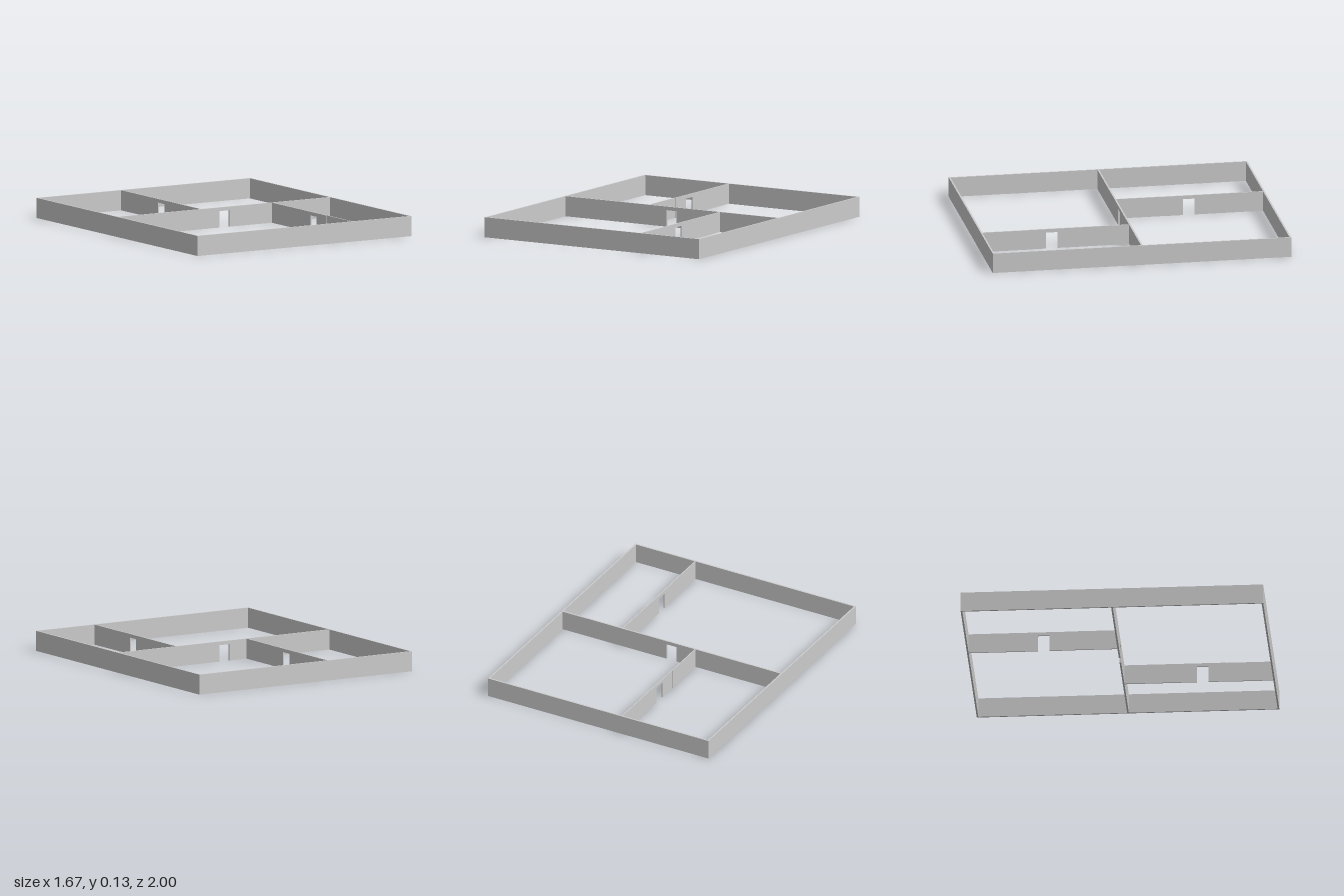
import * as THREE from 'three';

const HALF_X = 0.833, HALF_Z = 1, HEIGHT = 0.134, DOOR_HEIGHT = 0.11;
const OUTER = 0.011, INNER = 0.008;
const material = new THREE.MeshStandardMaterial({ color: 0xcccccc, flatShading: true });

// Wall outline from a to b along its run, notched to the floor at an optional doorway [start, end]
function wallGeometry(a, b, thickness, door) {
  const points = [[a, 0]];
  if (door) points.push([door[0], 0], [door[0], DOOR_HEIGHT], [door[1], DOOR_HEIGHT], [door[1], 0]);
  points.push([b, 0], [b, HEIGHT], [a, HEIGHT]);
  const shape = new THREE.Shape(points.map(([u, v]) => new THREE.Vector2(u, v)));
  const geometry = new THREE.ExtrudeGeometry(shape, { depth: thickness, bevelEnabled: false });
  return geometry.translate(0, 0, -thickness / 2);
}

export function createModel() {
  const model = new THREE.Group();
  model.name = 'floorPlanWalls';

  // Wall running along x, centred on z
  function wallAlongX(name, z, a, b, thickness, door) {
    const mesh = new THREE.Mesh(wallGeometry(a, b, thickness, door), material);
    mesh.name = name;
    mesh.position.z = z;
    model.add(mesh);
  }

  // Wall running along z, centred on x
  function wallAlongZ(name, x, a, b, thickness, door) {
    const flipped = door && [-door[1], -door[0]];
    const geometry = wallGeometry(-b, -a, thickness, flipped).rotateY(Math.PI / 2);
    const mesh = new THREE.Mesh(geometry, material);
    mesh.name = name;
    mesh.position.x = x;
    model.add(mesh);
  }

  // Outer walls
  const zEdge = HALF_Z - OUTER / 2, xEdge = HALF_X - OUTER / 2;
  wallAlongX('frontWall', zEdge, -HALF_X, HALF_X, OUTER);
  wallAlongX('backWall', -zEdge, -HALF_X, HALF_X, OUTER);
  for (const [side, s] of [['left', 1], ['right', -1]]) {
    wallAlongZ(side + 'FrontWall', s * xEdge, OUTER / 2, HALF_Z - OUTER, OUTER);
    wallAlongZ(side + 'BackWall', s * xEdge, -HALF_Z + OUTER, -OUTER / 2, OUTER);
  }

  // Middle wall with a central doorway, reaching the outer faces
  wallAlongX('middleWall', 0, -HALF_X, HALF_X, OUTER, [-0.038, 0.038]);

  // Room dividers, each with a doorway and a slightly offset end section
  wallAlongZ('frontDivider', 0.373, OUTER / 2, 0.68, INNER, [0.485, 0.562]);
  wallAlongZ('frontDividerEnd', 0.376, 0.68, HALF_Z - OUTER, INNER);
  wallAlongZ('backDivider', -0.176, -HALF_Z + OUTER, -0.32, INNER, [-0.53, -0.453]);
  wallAlongZ('backDividerEnd', -0.178, -0.32, -OUTER / 2, INNER);

  return model;
}
